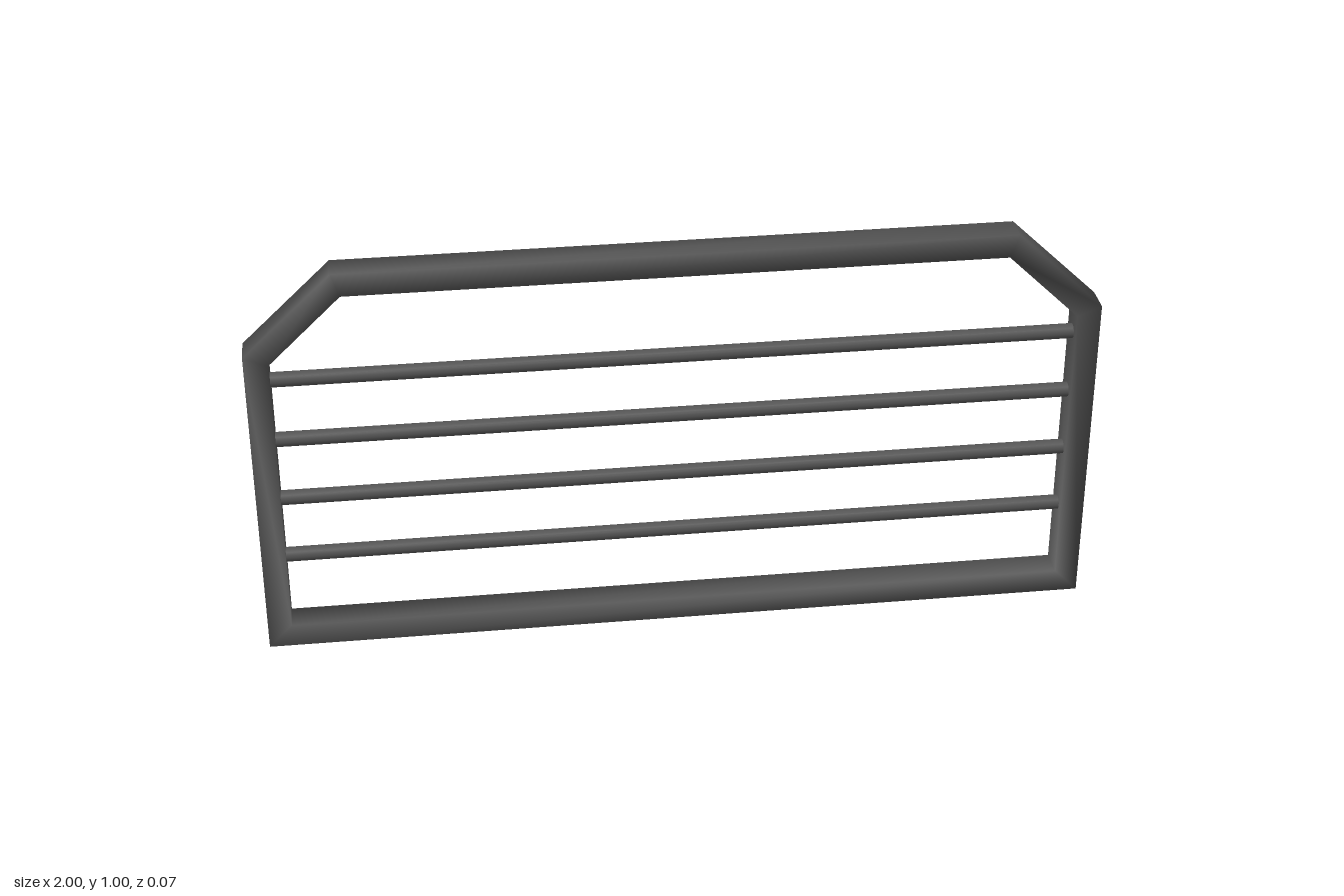
import * as THREE from 'three';

// Ring of rectangular tube: four section corners at every outline corner, mitred,
// with shared vertices so the shading is soft.
function frameGeometry(outer, inner, depth) {
  const n = outer.length, h = depth / 2;
  const positions = [], index = [];
  for (let i = 0; i < n; i++) {
    const [ox, oy] = outer[i], [ix, iy] = inner[i];
    positions.push(ox, oy, h, ix, iy, h, ix, iy, -h, ox, oy, -h);
  }
  for (let i = 0; i < n; i++) {
    const a = i * 4, b = ((i + 1) % n) * 4;
    for (let k = 0; k < 4; k++) {
      const m = (k + 1) % 4;
      index.push(a + k, b + k, b + m, a + k, b + m, a + m);
    }
  }
  const geometry = new THREE.BufferGeometry();
  geometry.setAttribute('position', new THREE.Float32BufferAttribute(positions, 3));
  geometry.setIndex(index);
  geometry.computeVertexNormals();
  return geometry;
}

// Mirror the right half of an outline, keeping it counter-clockwise.
const mirrored = (half) => [...half, ...half.map(([x, y]) => [-x, y]).reverse()];

export function createModel() {
  const model = new THREE.Group();
  model.name = 'barredPanel';

  const darkMetal = new THREE.MeshStandardMaterial({ color: 0x555555 });
  darkMetal.name = 'darkMetal';

  // Outer frame with cut upper corners
  const outer = mirrored([[1, 0], [1, 0.8], [0.79, 1]]);
  const inner = mirrored([[0.943, 0.058], [0.943, 0.776], [0.77, 0.943]]);
  const frame = new THREE.Mesh(frameGeometry(outer, inner, 0.072), darkMetal);
  frame.name = 'frame';
  model.add(frame);

  // Thin horizontal rods
  const rodGeometry = new THREE.CylinderGeometry(0.018, 0.018, 1.9, 16).rotateZ(Math.PI / 2);
  for (let i = 0; i < 4; i++) {
    const rod = new THREE.Mesh(rodGeometry, darkMetal);
    rod.name = `rod${i + 1}`;
    rod.position.y = 0.24 + i * 0.16;
    model.add(rod);
  }
  return model;
}
